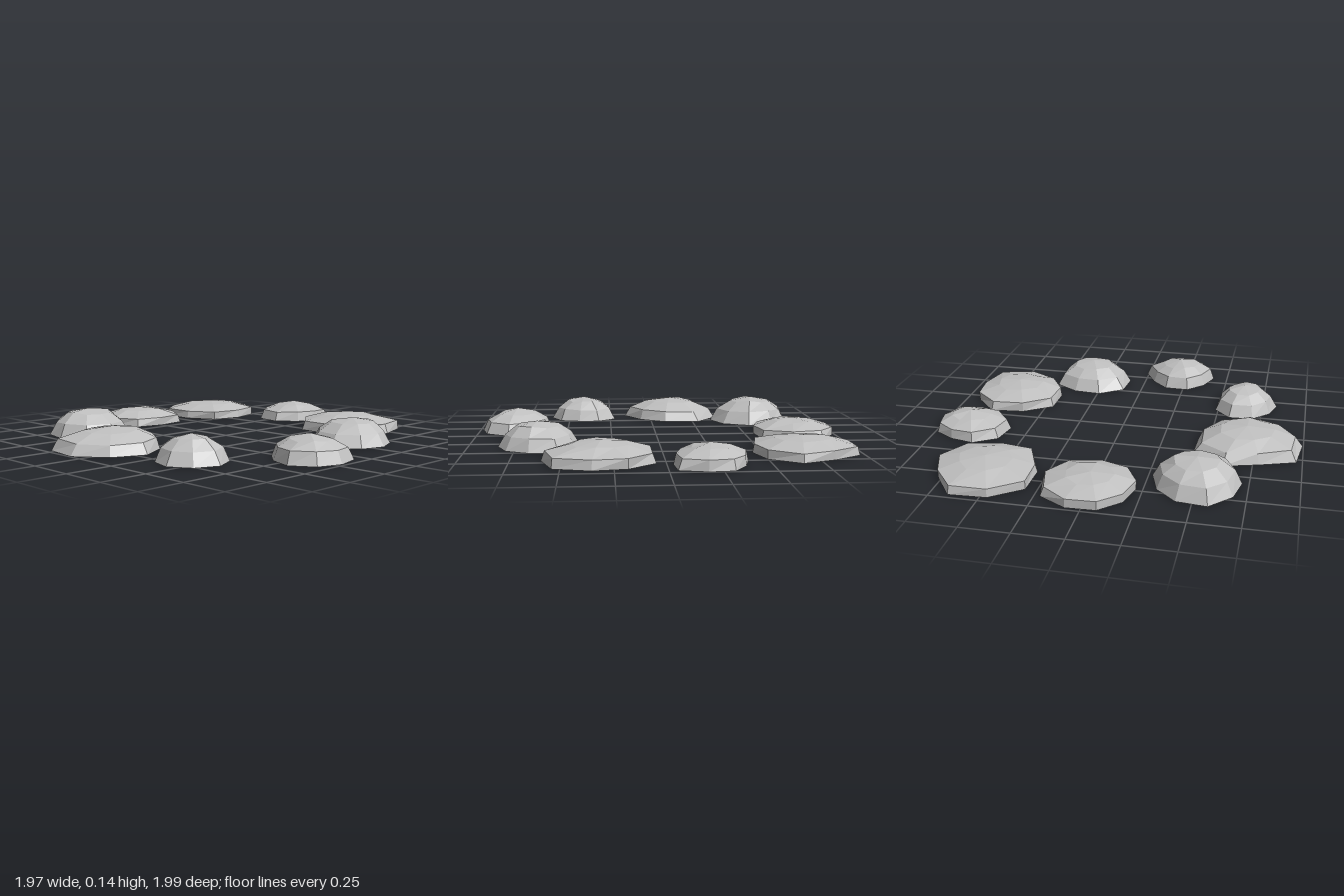
import * as THREE from 'three';

// Each stone: centre x/z, height, shoulder ring width, crown ring height, base radius every 40 degrees
const STONES = [
  { x: -0.21, z: -0.82, h: 0.107, shoulder: 0.92, crown: 0.80, r: [0.18, 0.19, 0.22, 0.22, 0.20, 0.17, 0.19, 0.18, 0.22] },
  { x: 0.31, z: -0.70, h: 0.100, shoulder: 0.97, crown: 0.85, r: [0.29, 0.24, 0.25, 0.28, 0.26, 0.28, 0.25, 0.25, 0.30] },
  { x: -0.70, z: -0.56, h: 0.090, shoulder: 0.98, crown: 0.85, r: [0.25, 0.27, 0.26, 0.29, 0.28, 0.29, 0.24, 0.285, 0.265] },
  { x: -0.77, z: 0, h: 0.092, shoulder: 0.97, crown: 0.85, r: [0.22, 0.24, 0.22, 0.21, 0.22, 0.225, 0.255, 0.26, 0.26] },
  { x: -0.61, z: 0.495, h: 0.145, shoulder: 0.83, crown: 0.86, r: [0.245, 0.24, 0.225, 0.22, 0.24, 0.22, 0.21, 0.23, 0.24] },
  { x: -0.13, z: 0.70, h: 0.116, shoulder: 0.88, crown: 0.85, r: [0.285, 0.275, 0.30, 0.31, 0.235, 0.29, 0.31, 0.265, 0.25] },
  { x: 0.41, z: 0.64, h: 0.133, shoulder: 0.82, crown: 0.84, r: [0.20, 0.195, 0.195, 0.18, 0.19, 0.20, 0.18, 0.155, 0.185] },
  { x: 0.785, z: 0.21, h: 0.128, shoulder: 0.87, crown: 0.80, r: [0.20, 0.205, 0.21, 0.185, 0.20, 0.195, 0.18, 0.225, 0.215] },
  { x: 0.64, z: -0.32, h: 0.135, shoulder: 0.82, crown: 0.84, r: [0.205, 0.215, 0.23, 0.245, 0.23, 0.215, 0.235, 0.195, 0.20] },
];

// Small seeded generator for the chipped look
function seeded(seed) {
  let s = seed;
  return () => ((s = (s * 16807) % 2147483647) / 2147483647) - 0.5;
}

// Flat-bottomed faceted dome made of three rings and an apex
function stoneGeometry({ h, shoulder, crown, r }, seed) {
  const rand = seeded(seed);
  const n = r.length;
  const mean = r.reduce((a, b) => a + b) / n;
  const levels = [[1, 0, 0], [shoulder, 0.5, 0.2], [0.52, crown, 0.5]]; // width, height, roundness
  const rings = levels.map(([width, height, round], level) => r.map((radius, i) => {
    const a = (i / n) * Math.PI * 2;
    const chip = level ? 1 + rand() * 0.07 : 1;
    const d = THREE.MathUtils.lerp(radius, mean, round) * width * chip;
    return new THREE.Vector3(Math.cos(a) * d, h * height * (1 + rand() * 0.12), Math.sin(a) * d);
  }));
  const apex = new THREE.Vector3(0, h, 0);
  const centre = new THREE.Vector3();
  const points = [];
  for (let i = 0; i < n; i++) {
    const j = (i + 1) % n;
    for (let k = 0; k < 2; k++) {
      const low = rings[k], high = rings[k + 1];
      points.push(low[j], low[i], high[i], low[j], high[i], high[j]);
    }
    points.push(apex, rings[2][j], rings[2][i]); // cap
    points.push(centre, rings[0][i], rings[0][j]); // underside
  }
  const geometry = new THREE.BufferGeometry().setFromPoints(points);
  geometry.computeVertexNormals(); // unshared corners keep the facets flat
  return geometry;
}

export function createModel() {
  const group = new THREE.Group();
  group.name = 'stoneRing';
  const stoneGrey = new THREE.MeshStandardMaterial({ color: 0xc0c0c0 });
  stoneGrey.name = 'stone grey';
  STONES.forEach((stone, i) => {
    const mesh = new THREE.Mesh(stoneGeometry(stone, 101 + i * 7919), stoneGrey);
    mesh.name = `stone${i + 1}`;
    mesh.position.set(stone.x, 0, stone.z);
    group.add(mesh);
  });
  return group;
}
